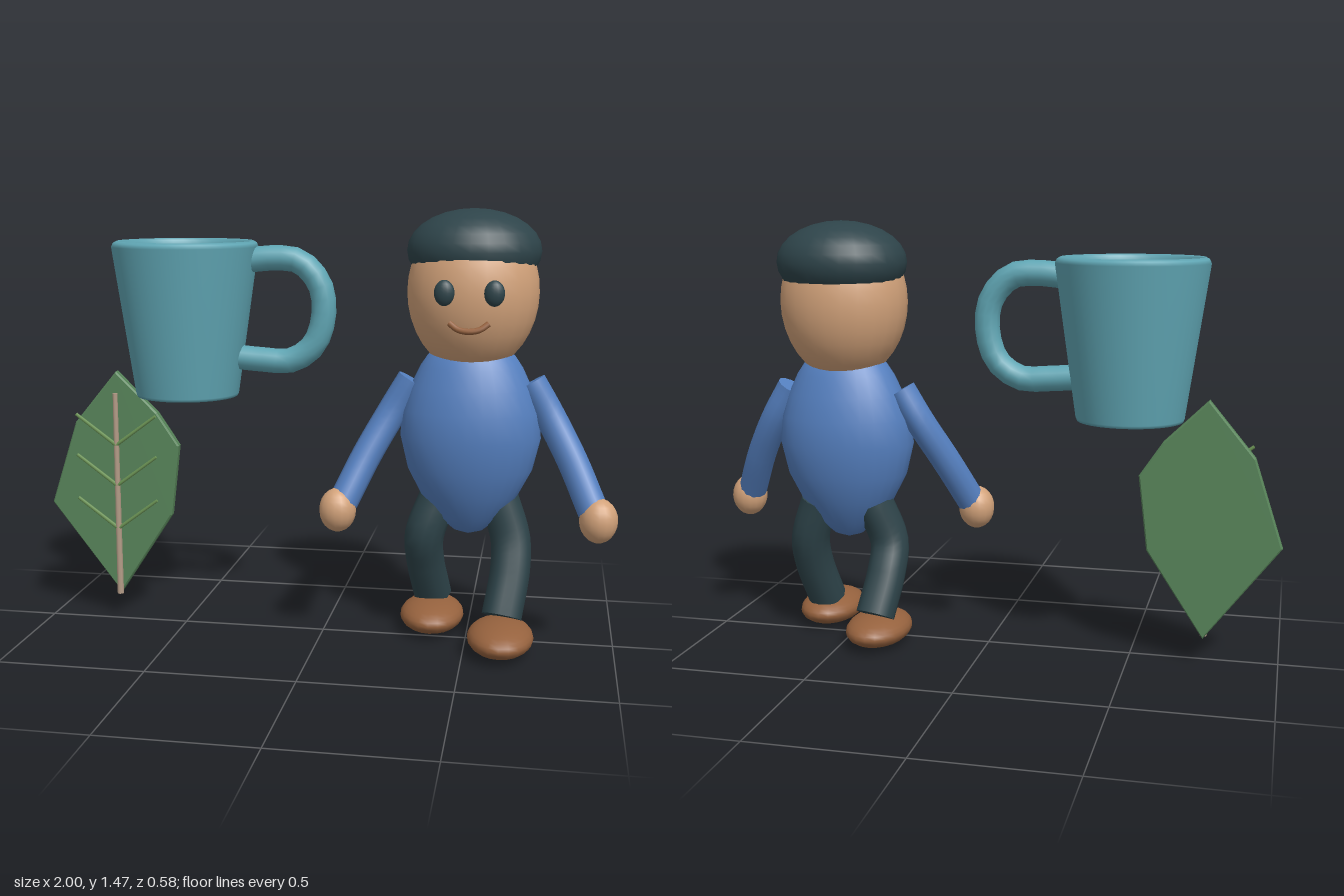
import * as THREE from 'three';

const mat = (name, color) => {
  const m = new THREE.MeshStandardMaterial({ color });
  m.name = name;
  return m;
};

export function createModel() {
  const teal = mat('teal glaze', 0x60a6b4);
  const blue = mat('blue shirt', 0x5580c0);
  const skin = mat('skin', 0xd2a27a);
  const dark = mat('dark slate', 0x2e444a);
  const brown = mat('brown leather', 0x96623e);
  const green = mat('leaf green', 0x58855a);
  const veinGreen = mat('vein green', 0x6c9455);
  const tan = mat('midrib tan', 0xb59d88);

  const model = new THREE.Group();
  model.name = 'model';
  const group = (name) => {
    const g = new THREE.Group();
    g.name = name;
    model.add(g);
    return g;
  };
  const add = (parent, name, geometry, material, x = 0, y = 0, z = 0) => {
    const mesh = new THREE.Mesh(geometry, material);
    mesh.name = name;
    mesh.position.set(x, y, z);
    parent.add(mesh);
    return mesh;
  };
  const ellipsoid = (parent, name, material, pos, radii, w = 20, h = 14) =>
    add(parent, name, new THREE.SphereGeometry(1, w, h), material, ...pos).scale.set(...radii);

  // Bent tube through points, closed with a disc at each end
  const tube = (parent, name, material, points, radius, steps = 14, sides = 12, curveType = 'centripetal') => {
    const curve = new THREE.CatmullRomCurve3(points.map((p) => new THREE.Vector3(...p)), false, curveType);
    add(parent, name, new THREE.TubeGeometry(curve, steps, radius, sides), material);
    for (const t of [0, 1]) {
      const p = curve.getPointAt(t);
      const out = curve.getTangentAt(t).multiplyScalar(t ? 1 : -1);
      const cap = add(parent, name + 'End', new THREE.CircleGeometry(radius, sides), material, p.x, p.y, p.z);
      cap.quaternion.setFromUnitVectors(new THREE.Vector3(0, 0, 1), out);
    }
  };

  // Mug: one closed profile, outside up, over the lip and down inside
  const mug = group('mug');
  const profile = [[0, 0.825], [0.176, 0.825], [0.18, 0.835], [0.253, 1.342], [0.247, 1.355], [0.235, 1.362],
    [0.226, 1.355], [0.22, 1.335], [0.16, 0.9], [0.13, 0.872], [0, 0.865]];
  add(mug, 'cup', new THREE.LatheGeometry(profile.map((p) => new THREE.Vector2(...p)), 40), teal, -0.49, 0, -0.04);
  tube(mug, 'handle', teal, [[-0.28, 1.295, -0.04], [-0.19, 1.305, -0.04], [-0.09, 1.295, -0.04],
    [-0.02, 1.22, -0.04], [-0.005, 1.12, -0.04], [-0.04, 1.01, -0.04], [-0.12, 0.955, -0.04],
    [-0.21, 0.955, -0.04], [-0.3, 0.962, -0.04]], 0.043, 18, 12);

  // Leaf blade
  const leaf = group('leaf');
  const outline = [[-0.75, 0.895], [-0.9, 0.713], [-0.995, 0.42], [-0.75, 0.1], [-0.56, 0.39],
    [-0.53, 0.64], [-0.607, 0.755]];
  const blade = new THREE.ExtrudeGeometry(new THREE.Shape(outline.map((p) => new THREE.Vector2(...p))), {
    depth: 0.024, bevelEnabled: true, bevelThickness: 0.006, bevelSize: 0.005, bevelSegments: 1,
  });
  add(leaf, 'blade', blade, green, 0, 0, -0.055);

  // Midrib and paired side veins on the front of the blade
  add(leaf, 'midrib', new THREE.CylinderGeometry(0.009, 0.012, 0.735, 8), tan, -0.75, 0.459, -0.015);
  for (const y of [0.64, 0.493, 0.335]) {
    for (const side of [-1, 1]) {
      const vein = add(leaf, 'vein', new THREE.CylinderGeometry(0.006, 0.007, 0.182, 6), veinGreen,
        -0.75 + side * 0.073, y + 0.054, -0.012);
      vein.rotation.z = -side * 0.935;
    }
  }

  // Figure: head with cap and face
  const figure = group('figure');
  ellipsoid(figure, 'head', skin, [0.5, 1.2, -0.04], [0.22, 0.27, 0.2], 24, 18);
  ellipsoid(figure, 'cap', dark, [0.5, 1.335, -0.056], [0.224, 0.14, 0.2], 24, 14);
  for (const side of [-1, 1]) {
    ellipsoid(figure, 'eye', dark, [0.5 + side * 0.08, 1.21, 0.158], [0.033, 0.042, 0.022], 16, 12);
  }
  tube(figure, 'mouth', brown, [[0.437, 1.112, 0.147], [0.465, 1.093, 0.157], [0.5, 1.087, 0.161],
    [0.535, 1.093, 0.157], [0.563, 1.112, 0.147]], 0.01, 12, 8);

  // Egg-shaped torso with a flat top
  const body = [[0, 0.37], [0.05, 0.385], [0.105, 0.43], [0.165, 0.51], [0.212, 0.6], [0.238, 0.71],
    [0.229, 0.8], [0.205, 0.88], [0.172, 0.95], [0.145, 0.99], [0.13, 0.998], [0, 0.998]];
  add(figure, 'torso', new THREE.LatheGeometry(body.map((p) => new THREE.Vector2(...p)), 28), blue, 0.5, 0, -0.036)
    .scale.z = 0.7;

  // Arms and hands, mirrored
  for (const side of [-1, 1]) {
    const x = (d) => 0.5 + side * d;
    tube(figure, 'arm', blue, [[x(0.2), 0.9, -0.037], [x(0.265), 0.79, -0.03], [x(0.345), 0.645, 0.02],
      [x(0.415), 0.495, 0.088]], 0.051);
    ellipsoid(figure, 'hand', skin, [x(0.433), 0.468, 0.1], [0.063, 0.075, 0.063], 16, 12);
  }

  // Walking legs: left forward, right back
  tube(figure, 'leftLeg', dark, [[0.6, 0.5, -0.05], [0.645, 0.36, -0.035], [0.648, 0.26, 0],
    [0.625, 0.11, 0.065]], 0.068);
  tube(figure, 'rightLeg', dark, [[0.4, 0.5, -0.05], [0.35, 0.36, -0.035], [0.35, 0.26, -0.075],
    [0.372, 0.12, -0.142]], 0.068);
  ellipsoid(figure, 'leftShoe', brown, [0.624, 0.06, 0.125], [0.111, 0.056, 0.165]);
  ellipsoid(figure, 'rightShoe', brown, [0.376, 0.06, -0.087], [0.111, 0.056, 0.165]);

  return model;
}
